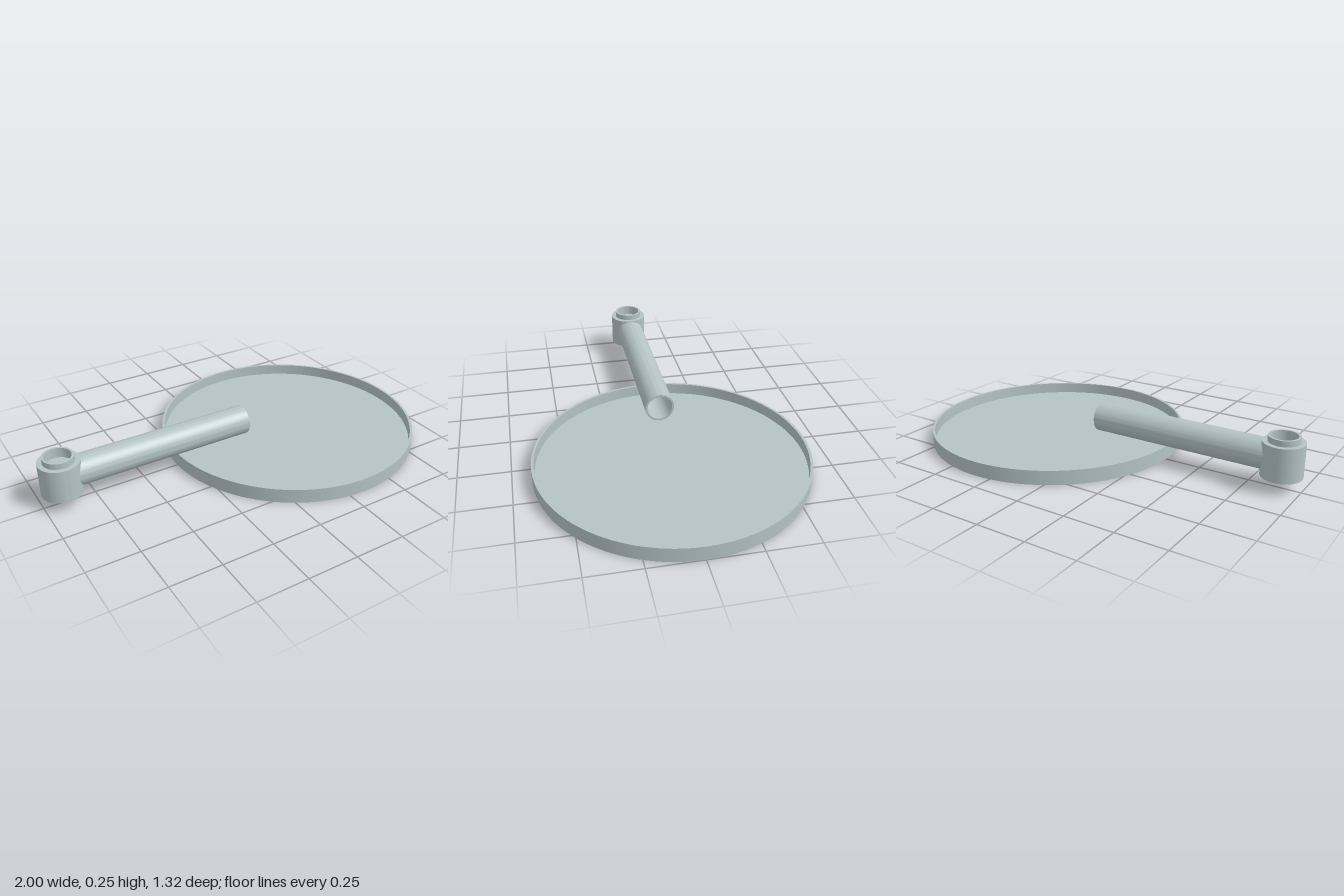
import * as THREE from 'three';
import { toCreasedNormals } from 'three/addons/utils/BufferGeometryUtils.js';

const metal = new THREE.MeshStandardMaterial({ color: 0xb4c3c6 });
metal.name = 'pale grey metal';

// Turned part from a [radius, height] profile, with crisp rims and smooth walls
function turned(name, profile, segments) {
  const points = profile.map(([r, y]) => new THREE.Vector2(r, y));
  const geometry = toCreasedNormals(new THREE.LatheGeometry(points, segments), Math.PI / 6);
  const mesh = new THREE.Mesh(geometry, metal);
  mesh.name = name;
  return mesh;
}

export function createModel() {
  const model = new THREE.Group();
  model.name = 'trayWithArm';

  // Shallow round tray with a thin upright rim
  const tray = turned('tray', [
    [0, 0], [0.658, 0], [0.658, 0.071], [0.646, 0.071], [0.646, 0.014], [0, 0.014],
  ], 128);
  tray.position.x = 0.342;

  // Closed-bottom pivot with a stepped collar and a shallow socket on top
  const pivot = turned('pivotSocket', [
    [0, 0.062], [0.097, 0.062], [0.097, 0.226], [0.073, 0.226],
    [0.073, 0.254], [0.062, 0.254], [0.062, 0.205], [0, 0.205],
  ], 64);
  pivot.position.x = -0.903;

  // Hollow arm running from the pivot over the tray
  const length = 0.905;
  const arm = turned('armTube', [
    [0.063, 0], [0.073, 0], [0.073, length], [0.063, length], [0.063, 0],
  ], 64);
  arm.rotation.z = -Math.PI / 2;
  arm.position.set(-0.841, 0.149, 0);

  model.add(tray, pivot, arm);
  return model;
}
